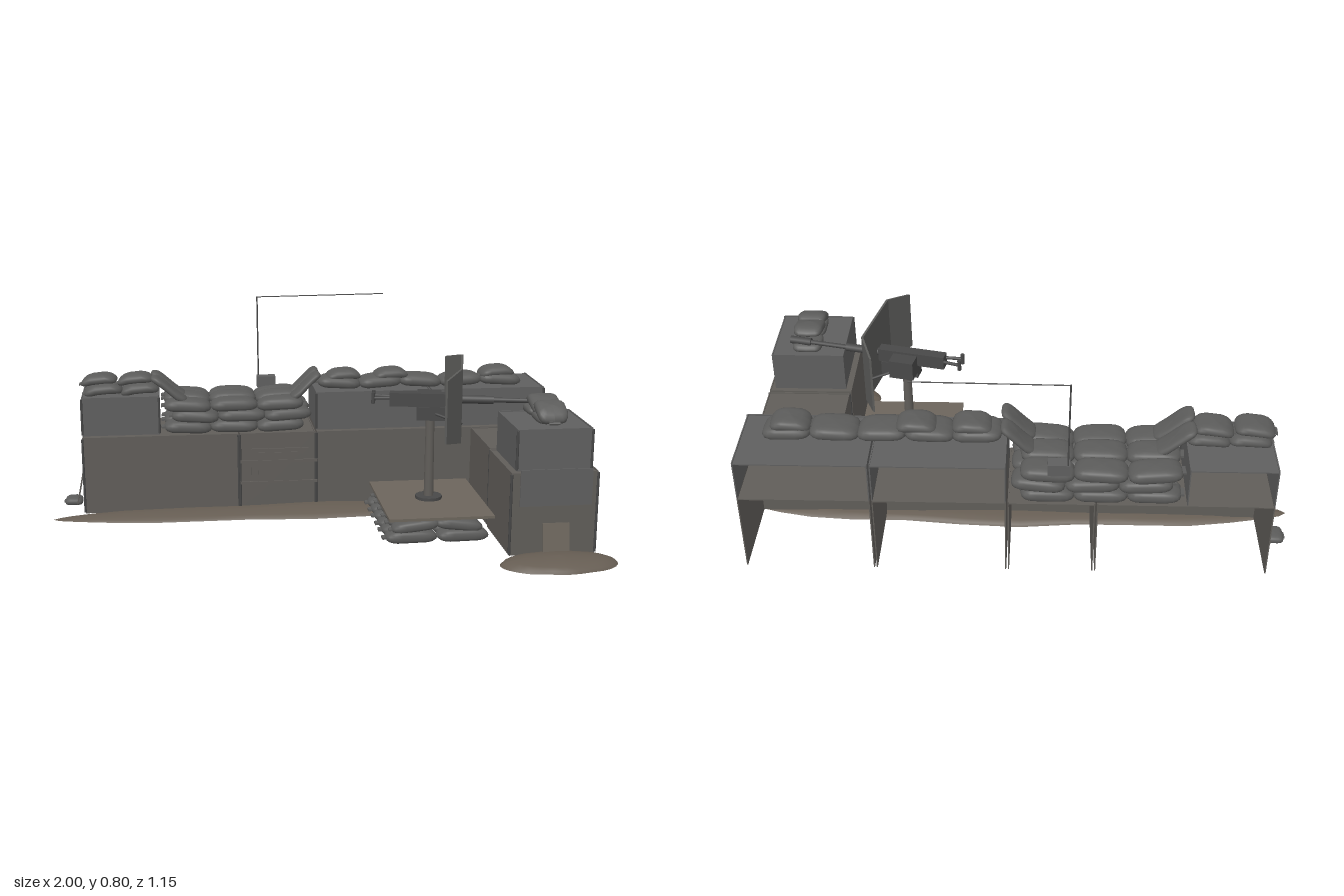
import * as THREE from 'three';
import { mergeGeometries } from 'three/addons/utils/BufferGeometryUtils.js';

const paint = (color, flatShading = false) =>
  new THREE.MeshStandardMaterial({ color, side: THREE.DoubleSide, flatShading });
const lowerMat = paint(0x605d59), upperMat = paint(0x5f5f5f), bagMat = paint(0x5c5c5b);
const earthMat = paint(0x665d53), deckMat = paint(0x6c655c);
const steelMat = paint(0x484848), shieldMat = paint(0x5a5a58, true);

function add(parent, name, geo, x, y, z, m) {
  const mesh = new THREE.Mesh(geo, m);
  mesh.name = name;
  mesh.position.set(x, y, z);
  parent.add(mesh);
  return mesh;
}

// Box given by its extents
function block(parent, name, x0, x1, y0, y1, z0, z1, m) {
  return add(parent, name, new THREE.BoxGeometry(x1 - x0, y1 - y0, z1 - z0),
    (x0 + x1) / 2, (y0 + y1) / 2, (z0 + z1) / 2, m);
}

// Thin-walled barrier cell, open below and optionally at the back
function cell(parent, name, x0, x1, y0, y1, z0, z1, m, openBack = false) {
  const g = new THREE.Group();
  g.name = name;
  parent.add(g);
  const t = 0.004;
  block(g, 'frontWall', x0, x1, y0, y1, z1 - t, z1, m);
  block(g, 'sideWall', x0, x0 + t, y0, y1, z0, z1 - t, m);
  block(g, 'sideWall', x1 - t, x1, y0, y1, z0, z1 - t, m);
  block(g, 'fillTop', x0 + t, x1 - t, y1 - 0.008, y1 - 0.004, z0, z1 - t, m);
  if (!openBack) block(g, 'backWall', x0 + t, x1 - t, y0, y1, z0, z0 + t, m);
  // coiled joints on the front corners
  for (const x of [x0, x1])
    add(g, 'cornerJoint', new THREE.CylinderGeometry(0.005, 0.005, y1 - y0 - 0.01, 6),
      x, (y0 + y1) / 2, z1, steelMat);
}

// Squared pillow with a tied tail; rise bends it into a step, droop bows its ends down
function bagGeometry(rise, droop) {
  const body = new THREE.SphereGeometry(1, 18, 10);
  const tail = new THREE.BoxGeometry(0.14, 0.3, 0.7, 1, 1, 2).translate(-1.04, 0, 0);
  const soft = (v, e) => Math.sign(v) * Math.abs(v) ** e;
  const p = body.attributes.position;
  for (let i = 0; i < p.count; i++) {
    const x = soft(p.getX(i), 0.5);
    p.setXYZ(i, x, soft(p.getY(i), 0.75) * (1 - 0.4 * x ** 6), soft(p.getZ(i), 0.5));
  }
  const geo = mergeGeometries([body, tail]);
  const q = geo.attributes.position;
  for (let i = 0; i < q.count; i++) {
    const x = q.getX(i);
    const y = q.getY(i) + rise * Math.sin(x * 1.5) - droop * x * x;
    q.setXYZ(i, x / 2, y / 2, q.getZ(i) / 2);
  }
  geo.computeVertexNormals();
  return geo;
}
const plainBag = bagGeometry(0, 0.2), steppedBag = bagGeometry(2.4, 0), bowedBag = bagGeometry(0, 0.75);

function bag(parent, x, y, z, len, wide, high, turn = 0, tilt = 0, geo = plainBag) {
  const b = add(parent, 'sandbag', geo, x, y, z, bagMat);
  b.scale.set(len, high, wide);
  b.rotation.set(0, turn, tilt);
}

// Low earth bank with an uneven outline
function mound(parent, name, x, z, rx, rz, high, wobble) {
  const geo = new THREE.SphereGeometry(1, 28, 5, 0, Math.PI * 2, 0, Math.PI / 2);
  const p = geo.attributes.position;
  for (let i = 0; i < p.count; i++) {
    const px = p.getX(i);
    const f = 1 + wobble * Math.sin(px * 9 + 1);
    p.setXYZ(i, px * rx, p.getY(i) * high * f, p.getZ(i) * rz * f);
  }
  geo.computeVertexNormals();
  add(parent, name, geo, x, 0, z, earthMat);
}

// Straight steel rod between two points
function rod(parent, name, a, b, r, r2 = r) {
  const from = new THREE.Vector3(...a), to = new THREE.Vector3(...b);
  const d = to.clone().sub(from);
  const m = add(parent, name, new THREE.CylinderGeometry(r2, r, d.length(), 10), 0, 0, 0, steelMat);
  m.position.copy(from).addScaledVector(d, 0.5);
  m.quaternion.setFromUnitVectors(new THREE.Vector3(0, 1, 0), d.normalize());
}

function walls(root) {
  const g = new THREE.Group();
  g.name = 'barrierWalls';
  root.add(g);
  // long back wall: lower and upper courses
  for (const [a, b] of [[-0.88, -0.283], [-0.277, 0.018], [0.024, 0.478], [0.484, 0.935]])
    cell(g, 'lowerCell', a, b, 0.01, 0.312, -0.565, -0.26, lowerMat, true);
  for (const [a, b] of [[-0.88, -0.585], [0.024, 0.478], [0.484, 0.935]])
    cell(g, 'upperCell', a, b, 0.312, 0.462, -0.565, -0.287, upperMat, true);
  // side wing and its end tower
  cell(g, 'wingCell', 0.635, 0.94, 0.01, 0.312, -0.252, 0.063, lowerMat);
  cell(g, 'towerLowerCell', 0.63, 0.94, 0.01, 0.312, 0.072, 0.392, lowerMat);
  cell(g, 'towerUpperCell', 0.652, 0.92, 0.312, 0.462, 0.09, 0.372, upperMat);
}

function sandbags(root) {
  const g = new THREE.Group();
  g.name = 'sandbags';
  root.add(g);
  // embrasure between the upper cells: rows in depth, stacked courses
  for (let layer = 0; layer < 3; layer++)
    for (let row = 0; row < 3; row++)
      for (let i = 0; i < 3; i++) {
        const shift = layer === 1 ? 0.02 : -0.01;
        bag(g, -0.465 + i * 0.18 + shift, 0.335 + layer * 0.042 + (row === 1 ? 0.006 : 0),
          -0.515 + row * 0.095, 0.185, 0.105, 0.05, ((i + row + layer) % 3 - 1) * 0.06,
          (i - 1) * 0.05);
      }
  // bags draped up both sides of the embrasure
  for (const z of [-0.42, -0.33]) {
    bag(g, -0.545, 0.482, z, 0.14, 0.09, 0.036, Math.PI, 0, steppedBag);
    bag(g, -0.015, 0.482, z, 0.12, 0.09, 0.036, 0, 0, steppedBag);
  }
  // wall tops, overlapping like shingles
  for (const x of [-0.8, -0.66]) {
    bag(g, x, 0.482, -0.385, 0.15, 0.12, 0.04, 0.04, 0.08, bowedBag);
    bag(g, x - 0.015, 0.52, -0.385, 0.14, 0.11, 0.036, -0.04, 0.1, bowedBag);
  }
  for (let i = 0; i < 5; i++) {
    const side = i % 2 ? 1 : -1;
    bag(g, 0.125 + i * 0.162, 0.486, -0.385, 0.172, 0.125, 0.048, side * 0.04, side * 0.06);
  }
  for (const x of [0.14, 0.33, 0.76])
    bag(g, x, 0.517, -0.385, 0.14, 0.11, 0.038, 0.03, 0.06, bowedBag);
  // tower top, laid front to back and overlapping
  bag(g, 0.79, 0.482, 0.27, 0.13, 0.11, 0.036, Math.PI / 2);
  bag(g, 0.79, 0.482, 0.15, 0.11, 0.11, 0.036, Math.PI / 2);
  bag(g, 0.79, 0.513, 0.29, 0.12, 0.11, 0.04, Math.PI / 2, 0.4, bowedBag);
  bag(g, 0.79, 0.52, 0.205, 0.14, 0.11, 0.04, Math.PI / 2, 0.25, bowedBag);
  // foot of the right end
  bag(g, -0.93, 0.03, -0.38, 0.07, 0.08, 0.03);
}

function gunPlatform(root) {
  const g = new THREE.Group();
  g.name = 'gunPlatform';
  root.add(g);
  for (let row = 0; row < 6; row++)
    for (let i = 0; i < 2; i++) {
      const z = -0.19 + row * 0.082;
      bag(g, 0.31 + i * 0.19, 0.042, z, 0.19, 0.085, 0.048, 0.04 * (row % 2 ? 1 : -1));
      bag(g, 0.325 + i * 0.16, 0.081, z, 0.175, 0.08, 0.042, 0, i ? -0.12 : 0.12);
    }
  block(g, 'deck', 0.222, 0.605, 0.112, 0.122, -0.19, 0.28, deckMat);
}

function gun(root) {
  const g = new THREE.Group();
  g.name = 'mountedGun';
  g.position.set(0.41, 0, 0.04);
  g.rotation.y = -0.215;
  root.add(g);
  add(g, 'baseFlange', new THREE.CylinderGeometry(0.05, 0.05, 0.012, 16), 0, 0.127, 0, steelMat);
  add(g, 'post', new THREE.CylinderGeometry(0.016, 0.018, 0.3, 12), 0, 0.275, 0, lowerMat);
  block(g, 'cradle', -0.05, 0.09, 0.425, 0.475, -0.024, 0.024, steelMat);
  block(g, 'receiver', -0.15, 0.1, 0.475, 0.525, -0.02, 0.02, steelMat);
  block(g, 'ammoBox', -0.05, 0.04, 0.45, 0.52, -0.08, -0.024, steelMat);
  rod(g, 'barrel', [0.1, 0.503, 0], [0.44, 0.503, 0], 0.01, 0.008);
  rod(g, 'barrelSleeve', [0.1, 0.503, 0], [0.23, 0.503, 0], 0.015);
  rod(g, 'muzzle', [0.37, 0.503, 0], [0.45, 0.503, 0], 0.015);
  for (const s of [-1, 1]) {
    rod(g, 'gripArm', [-0.15, 0.505, s * 0.015], [-0.21, 0.505, s * 0.022], 0.006);
    rod(g, 'grip', [-0.21, 0.485, s * 0.022], [-0.21, 0.525, s * 0.022], 0.007);
    rod(g, 'shieldStay', [0.02, 0.45, s * 0.02], [0.115, 0.43, s * 0.08], 0.005);
  }
  // folded shield: columns of [x, z, bottom, top], front and rear skins
  const columns = [[0.058, -0.222, 0.392, 0.62], [0.117, -0.132, 0.372, 0.645],
    [0.114, 0.135, 0.372, 0.645], [0.062, 0.232, 0.392, 0.62]];
  const pos = [], idx = [];
  for (const dx of [0, -0.008])
    for (const [x, z, lo, hi] of columns) pos.push(x + dx, lo, z, x + dx, hi, z);
  for (let i = 0; i < 6; i += 2) {
    idx.push(i, i + 1, i + 3, i, i + 3, i + 2);
    idx.push(i + 8, i + 11, i + 9, i + 8, i + 10, i + 11);
    for (const k of [i, i + 1]) idx.push(k, k + 2, k + 10, k, k + 10, k + 8);
  }
  for (const i of [0, 6]) idx.push(i, i + 1, i + 9, i, i + 9, i + 8);
  const geo = new THREE.BufferGeometry();
  geo.setAttribute('position', new THREE.Float32BufferAttribute(pos, 3));
  geo.setIndex(idx);
  geo.computeVertexNormals();
  add(g, 'gunShield', geo, 0, 0, 0, shieldMat);
}

function fittings(root) {
  // hatch with two crossbars on the long wall
  block(root, 'hatch', -0.235, -0.01, 0.045, 0.25, -0.262, -0.253, lowerMat);
  block(root, 'hatchPanel', -0.208, -0.037, 0.065, 0.235, -0.253, -0.25, lowerMat);
  for (const y of [0.115, 0.2]) block(root, 'hatchBar', -0.277, 0.025, y - 0.005, y + 0.005, -0.254, -0.246, lowerMat);
  // sign plate and leaning boards
  block(root, 'signPlate', 0.655, 0.912, 0.198, 0.33, 0.414, 0.419, upperMat);
  block(root, 'leaningBoard', 0.745, 0.84, 0.02, 0.13, 0.408, 0.413, deckMat).rotation.x = -0.15;
  block(root, 'endBoard', -0.902, -0.897, 0.02, 0.18, -0.42, -0.34, lowerMat).rotation.z = -0.2;
  // radio with a bent whip aerial
  block(root, 'radio', -0.19, -0.115, 0.435, 0.478, -0.573, -0.53, upperMat);
  rod(root, 'aerialMast', [-0.182, 0.47, -0.568], [-0.184, 0.8, -0.57], 0.003);
  rod(root, 'aerialWhip', [-0.184, 0.798, -0.57], [0.33, 0.803, -0.57], 0.002);
}

export function createModel() {
  const root = new THREE.Group();
  root.name = 'fortifiedPosition';
  for (const build of [walls, sandbags, gunPlatform, gun, fittings]) build(root);
  mound(root, 'longEarthBank', -0.015, -0.225, 0.985, 0.095, 0.024, 0.12);
  mound(root, 'towerEarthBank', 0.79, 0.467, 0.21, 0.103, 0.034, 0.03);
  return root;
}
